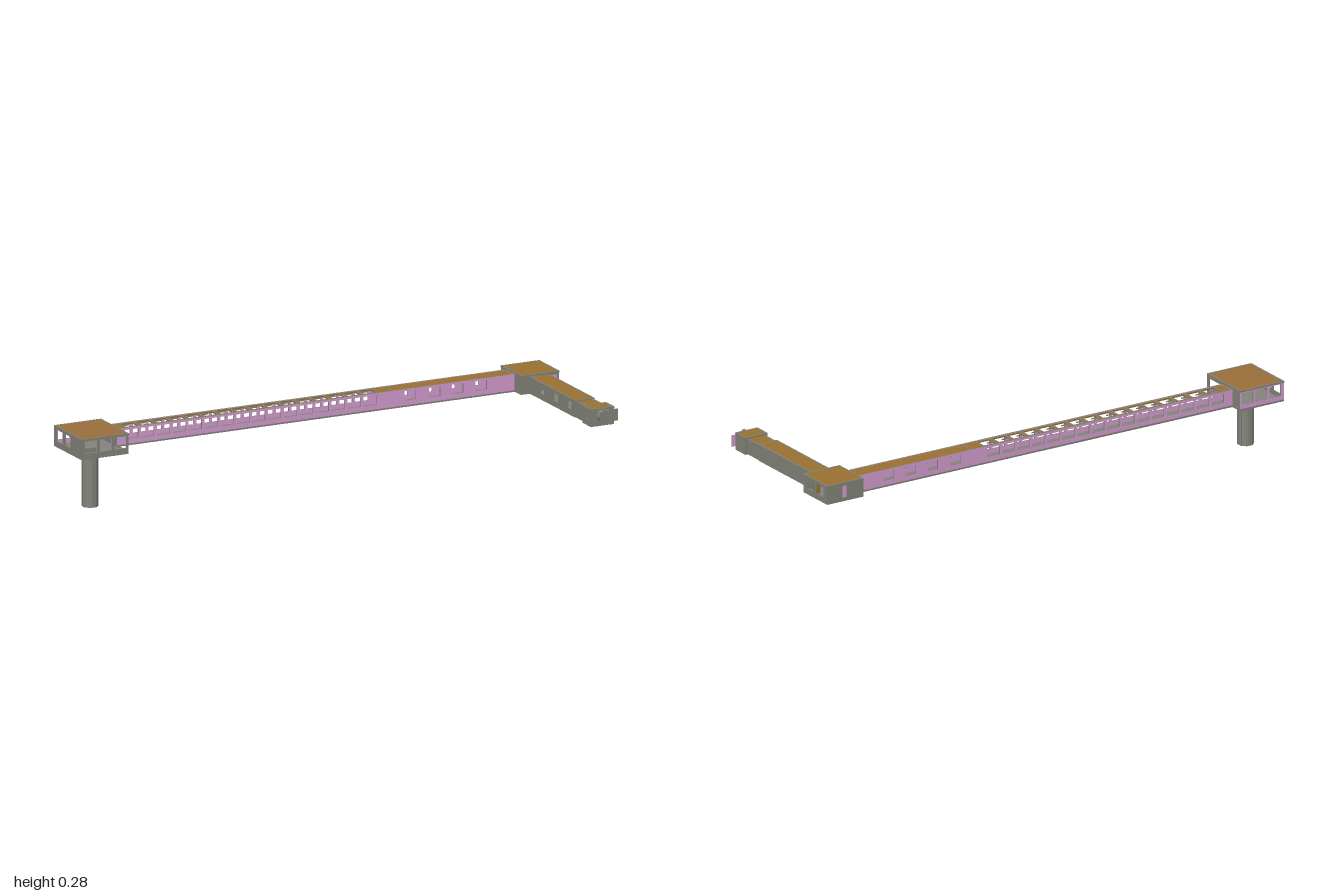
import * as THREE from 'three';

const mat = (name, color) => new THREE.MeshStandardMaterial({ name, color });

export function createModel() {
  const grey = mat('grey metal', 0x84857b);
  const pink = mat('pink wall', 0xd69ed2);
  const brown = mat('brown roof', 0x9c7232);
  const russet = mat('russet roof', 0x9c6f3a);
  const orange = mat('orange core', 0xb8733a);
  const model = new THREE.Group();
  model.name = 'boardingBridge';
  const T = 0.005; // panel thickness

  const add = (parent, name, geo, material, x = 0, y = 0, z = 0) => {
    const m = new THREE.Mesh(geo, material);
    m.name = name;
    m.position.set(x, y, z);
    parent.add(m);
    return m;
  };
  const box = (parent, name, material, x0, x1, y0, y1, z0, z1) =>
    add(parent, name, new THREE.BoxGeometry(x1 - x0, y1 - y0, z1 - z0), material,
      (x0 + x1) / 2, (y0 + y1) / 2, (z0 + z1) / 2);

  // Flat panel from (a0,b0) to (a1,b1) with rectangular openings [a0,a1,b0,b1]
  const panel = (a0, a1, b0, b1, holes, depth = T) => {
    const rect = (P, l, r, b, t) => new P([[l, b], [r, b], [r, t], [l, t]].map(p => new THREE.Vector2(...p)));
    const s = rect(THREE.Shape, a0, a1, b0, b1);
    s.holes = holes.map(h => rect(THREE.Path, ...h));
    return new THREE.ExtrudeGeometry(s, { depth, bevelEnabled: false });
  };
  // Flat rectangular border with its top at y; the outer edge may have its own colour
  const border = (parent, name, a0, a1, b0, b1, width, y, depth, edge) => {
    const hole = [a0 + width, a1 - width, b0 + width, b1 - width];
    add(parent, name, panel(a0, a1, b0, b1, [hole], depth), [grey, edge], 0, y, 0).rotation.x = Math.PI / 2;
  };

  // Hollow room: floor, bordered roof and up to four walls with their own openings
  const room = (name, [x0, x1, y0, y1, z0, z1], walls, roofHoles = [], roofMat = brown, edge = grey) => {
    const g = new THREE.Group();
    g.name = name;
    model.add(g);
    box(g, 'floorSlab', grey, x0, x1, y0, y0 + 0.007, z0, z1);
    add(g, 'roof', panel(x0, x1, z0, z1, roofHoles), roofMat, 0, y1, 0).rotation.x = Math.PI / 2;
    border(g, 'roofBorder', x0 - 0.001, x1 + 0.001, z0 - 0.001, z1 + 0.001, 0.006, y1 + 0.001, T + 0.0015, edge);
    for (const [l, r, b, t] of roofHoles) {
      border(g, 'skylightFrame', l - 0.004, r + 0.004, b - 0.004, t + 0.004, 0.004, y1 + 0.001, 0.0015, grey);
      box(g, 'skylightLatch', grey, l, l + 0.026, y1 - 0.003, y1 + 0.001, -0.267, -0.264);
    }
    const b = y0 + 0.006, t = y1 - T;
    const { front, back, left, right } = walls;
    if (front) add(g, 'frontWall', panel(x0, x1, b, t, front.holes), [front.m, grey], 0, 0, z1 - T);
    if (back) add(g, 'backWall', panel(x0, x1, b, t, back.holes), [back.m, grey], 0, 0, z0);
    for (const [wall, x, label] of [[left, x1, 'leftWall'], [right, x0 + T, 'rightWall']])
      if (wall) add(g, label, panel(z0 + T, z1 - T, b, t, wall.holes), wall.m, x, 0, 0).rotation.y = -Math.PI / 2;
    return g;
  };
  const w = (m, holes = []) => ({ m, holes });

  // Long corridor: sixteen close windows with matching skylights, then four spaced windows
  const windows = [], skylights = [];
  for (let i = 0; i < 16; i++) {
    const x = -0.74 + i * 0.0655;
    windows.push([x - 0.027, x + 0.027, 0.224, 0.26]);
    skylights.push([x - 0.017, x + 0.033, -0.285, -0.24]);
  }
  for (const x of [0.408, 0.51, 0.605, 0.702]) windows.push([x - 0.023, x + 0.023, 0.224, 0.26]);
  room('corridor', [-0.805, 0.839, 0.2, 0.267, -0.298, -0.227],
    { front: w(pink, windows), back: w(pink, windows) }, skylights, brown, pink);
  box(model, 'corridorRoofJoint', grey, 0.338, 0.342, 0.266, 0.268, -0.298, -0.227);

  // Terminal end room with three windows front and back, its front wall lined in pink
  const endX = [-0.96, -0.898, -0.838].map(x => [x - 0.025, x + 0.025, 0.222, 0.268]);
  const endZ = [-0.305, -0.24].map(z => [z - 0.024, z + 0.024, 0.222, 0.266]);
  const endRoom = room('endRoom', [-0.998, -0.805, 0.199, 0.277, -0.348, -0.127], {
    front: w(grey, endX), back: w(pink, endX), right: w(grey, endZ), left: w(grey, [[-0.218, -0.137, 0.21, 0.262]]),
  }, [], russet);
  add(endRoom, 'frontWallLining', panel(-0.993, -0.81, 0.206, 0.272, endX, 0.001), pink, 0, 0, -0.1332);
  box(endRoom, 'endRoomStep', grey, -0.985, -0.962, 0.206, 0.24, -0.2, -0.17);
  box(endRoom, 'endRoomBench', grey, -0.962, -0.9, 0.206, 0.227, -0.2, -0.17);

  // Hollow support column with vertical ribs
  const column = new THREE.Group();
  column.name = 'supportColumn';
  column.position.set(-0.928, 0, -0.196);
  model.add(column);
  const ring = new THREE.Shape().absarc(0, 0, 0.0295, 0, Math.PI * 2);
  ring.holes.push(new THREE.Path().absarc(0, 0, 0.022, 0, Math.PI * 2));
  add(column, 'columnTube', new THREE.ExtrudeGeometry(ring, { depth: 0.2, bevelEnabled: false, curveSegments: 12 }),
    grey, 0, 0.2, 0).rotation.x = Math.PI / 2;
  add(column, 'columnCore', new THREE.CylinderGeometry(0.0222, 0.0222, 0.19, 16), orange, 0, 0.097, 0);
  for (let i = 0; i < 8; i++) {
    const a = (i + 0.5) * Math.PI / 4;
    add(column, 'columnRib', new THREE.BoxGeometry(0.004, 0.2, 0.008), grey,
      Math.cos(a) * 0.0295, 0.1, Math.sin(a) * 0.0295).rotation.y = -a;
  }

  // Corner cabin joining the corridor and the arm
  room('cornerCabin', [0.84, 0.998, 0.2, 0.272, -0.338, -0.178], {
    front: w(grey), back: w(grey), right: w(grey),
    left: w(grey, [[-0.312, -0.264, 0.223, 0.26], [-0.25, -0.202, 0.223, 0.26]]),
  });
  for (const z of [-0.268, -0.246])
    box(model, 'cabinWindowFrame', brown, 0.985, 0.997, 0.223, 0.26, z - 0.004, z + 0.004);
  box(model, 'cabinFrontPlate', pink, 0.962, 0.988, 0.215, 0.26, -0.179, -0.177);
  box(model, 'cabinBackPlate', pink, 0.915, 0.93, 0.215, 0.26, -0.339, -0.337);

  // Arm reaching forward in telescoping sections, windows on the inner side
  const armHoles = [-0.08, 0.03, 0.14].map(z => [z - 0.018, z + 0.018, 0.223, 0.252]);
  room('armSection', [0.877, 0.957, 0.2, 0.264, -0.18, 0.185],
    { left: w(grey), right: w(grey, armHoles), front: w(grey) });
  room('armInnerSection', [0.88, 0.954, 0.2, 0.26, 0.18, 0.272], { left: w(grey), right: w(grey) });
  room('armHead', [0.869, 0.965, 0.2, 0.266, 0.262, 0.328], {
    left: w(grey), back: w(grey), front: w(grey), right: w(grey, [[0.28, 0.31, 0.223, 0.252]]),
  });
  // Thin open door beside the arm's end, pink on its inner face only
  box(model, 'armDoor', [grey, grey, grey, grey, grey, pink], 0.945, 0.98, 0.213, 0.258, 0.33, 0.332);

  // Round ribbed coupling on the arm's end
  const coupling = new THREE.Group();
  coupling.name = 'coupling';
  coupling.position.set(0.917, 0.238, 0.338);
  coupling.rotation.x = Math.PI / 2;
  model.add(coupling);
  add(coupling, 'couplingRing', new THREE.CylinderGeometry(0.024, 0.024, 0.022, 12), grey);
  add(coupling, 'couplingFace', new THREE.CylinderGeometry(0.016, 0.016, 0.003, 16), grey, 0, 0.0105, 0);
  for (let i = 0; i < 8; i++) {
    const a = i * Math.PI / 4;
    add(coupling, 'couplingRib', new THREE.BoxGeometry(0.006, 0.022, 0.008), grey,
      Math.cos(a) * 0.0235, 0, Math.sin(a) * 0.0235).rotation.y = -a;
  }
  return model;
}
